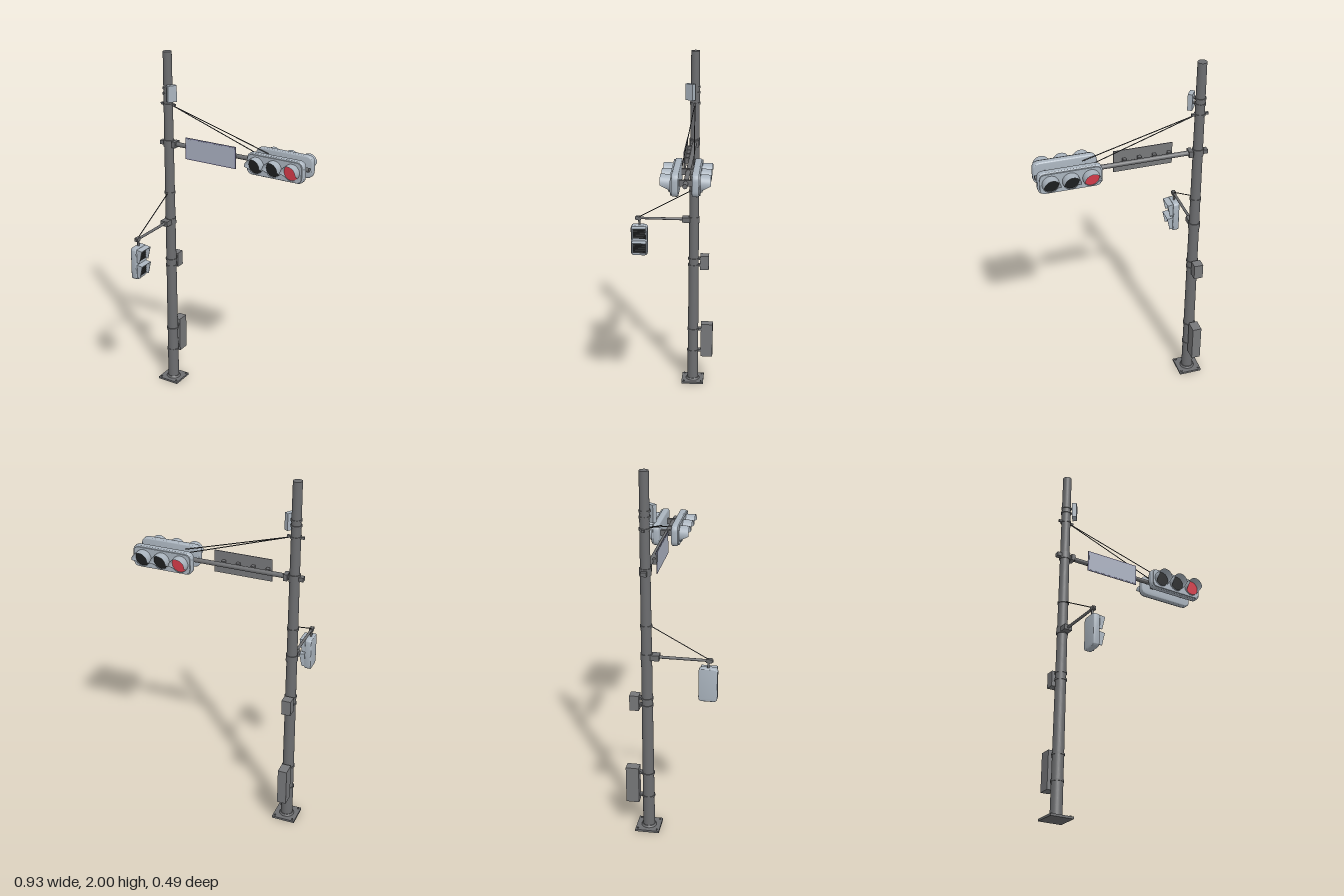
import * as THREE from 'three';
import { toCreasedNormals } from 'three/addons/utils/BufferGeometryUtils.js';

const mat = (name, color, side = THREE.FrontSide) => {
  const m = new THREE.MeshStandardMaterial({ color, side });
  m.name = name;
  return m;
};

export function createModel() {
  const root = new THREE.Group();
  root.name = 'trafficSignalPole';
  const steel = mat('poleGrey', 0x6c6d6f);
  const shell = mat('signalGrey', 0xaab4be, THREE.DoubleSide);
  const cabinet = mat('cabinetGrey', 0x77787a);
  const black = mat('lensBlack', 0x1c1e1f);
  const red = mat('lensRed', 0xd23a48);
  const cable = mat('cableGrey', 0x3c3d3f);
  const signFace = mat('signFace', 0xa9b0c0);
  const signEdge = mat('signBorder', 0x8c8cb0);
  const PX = -0.4, PZ = -0.123, ARM = 1.49;

  const add = (name, geo, material, x = 0, y = 0, z = 0, parent = root) => {
    const m = new THREE.Mesh(geo, material);
    m.name = name;
    m.position.set(x, y, z);
    parent.add(m);
    return m;
  };
  const box = (name, material, w, h, d, x, y, z, parent) =>
    add(name, new THREE.BoxGeometry(w, h, d), material, x, y, z, parent);
  // Round bar between two points
  const rod = (name, material, a, b, r0, r1 = r0, sides = 16) => {
    const p = new THREE.Vector3(...a), q = new THREE.Vector3(...b);
    const dir = q.clone().sub(p);
    const m = add(name, new THREE.CylinderGeometry(r1, r0, dir.length(), sides), material);
    m.position.copy(p).add(q).multiplyScalar(0.5);
    m.quaternion.setFromUnitVectors(new THREE.Vector3(0, 1, 0), dir.normalize());
    return m;
  };
  // Rounded plate, back at z = 0
  const plate = (w, h, d, r, bevel = 0) => {
    const a = w / 2 - bevel, b = h / 2 - bevel, s = new THREE.Shape();
    s.moveTo(-a + r, -b);
    s.lineTo(a - r, -b); s.quadraticCurveTo(a, -b, a, -b + r);
    s.lineTo(a, b - r); s.quadraticCurveTo(a, b, a - r, b);
    s.lineTo(-a + r, b); s.quadraticCurveTo(-a, b, -a, b - r);
    s.lineTo(-a, -b + r); s.quadraticCurveTo(-a, -b, -a + r, -b);
    const g = new THREE.ExtrudeGeometry(s, {
      depth: d - 2 * bevel, curveSegments: 6, bevelEnabled: bevel > 0,
      bevelSize: bevel, bevelThickness: bevel, bevelSegments: 3,
    });
    g.translate(0, 0, bevel);
    return toCreasedNormals(g, 0.7);
  };

  // Pole and foot
  const poleRadius = y => 0.032 - 0.004 * y;
  rod('pole', steel, [PX, 0.01, PZ], [PX, 2, PZ], poleRadius(0), poleRadius(2), 32);
  box('basePlate', steel, 0.13, 0.012, 0.13, PX, 0.006, PZ);
  add('baseCollar', new THREE.CylinderGeometry(0.035, 0.042, 0.012, 32), steel, PX, 0.016, PZ);
  for (const sx of [-1, 1]) for (const sz of [-1, 1])
    add('anchorBolt', new THREE.CylinderGeometry(0.005, 0.005, 0.008, 6), steel, PX + sx * 0.052, 0.014, PZ + sz * 0.052);

  // Clamping bands round the pole
  for (const [y, h] of [[0.2, 0.01], [0.34, 0.01], [0.75, 0.01], [0.79, 0.01], [1.03, 0.035], [1.2, 0.01], [1.49, 0.04], [1.71, 0.012], [1.77, 0.01], [1.8, 0.01]]) {
    const r = poleRadius(y) + 0.004;
    add('poleBand', new THREE.CylinderGeometry(r, r, h, 32), steel, PX, y, PZ);
  }

  // Cabinets behind the pole, with their standoffs
  box('lowerCabinet', cabinet, 0.05, 0.21, 0.07, -0.406, 0.27, -0.205);
  box('middleCabinet', cabinet, 0.05, 0.085, 0.05, -0.406, 0.768, -0.187);
  for (const y of [0.2, 0.34, 0.75, 0.79])
    box('cabinetBracket', steel, 0.025, 0.014, 0.03, PX, y, -0.16);

  // Small angled unit near the top
  const unit = box('upperUnit', shell, 0.05, 0.09, 0.025, -0.36, 1.78, -0.098);
  unit.rotation.y = Math.atan2(0.82, 0.57);
  for (const y of [1.77, 1.8])
    rod('upperUnitBracket', steel, [PX, y, PZ], [-0.365, y, -0.1], 0.006);

  // Main arm with its pole clamp and stays
  rod('mainArm', steel, [PX, ARM, PZ], [0.463, ARM, PZ], 0.013, 0.012, 20);
  box('armClamp', steel, 0.1, 0.022, 0.03, PX, ARM, PZ);
  box('armFlange', steel, 0.022, 0.035, 0.045, -0.357, ARM, PZ);
  for (const s of [-1, 1])
    rod('stayCable', cable, [-0.385, 1.71, PZ], [0.21, 1.525, PZ + s * 0.03], 0.0025, 0.0025, 6);
  box('stayLug', steel, 0.09, 0.012, 0.012, PX, 1.71, PZ);

  // Street sign on four short brackets
  box('signBack', cabinet, 0.316, 0.122, 0.003, -0.112, ARM, -0.0915);
  box('signBorder', signEdge, 0.316, 0.122, 0.001, -0.112, ARM, -0.0895);
  box('signFace', signFace, 0.304, 0.11, 0.001, -0.112, ARM, -0.0885);
  for (let i = 0; i < 4; i++)
    box('signBracket', steel, 0.018, 0.03, 0.025, -0.25 + i * 0.08, ARM, -0.103);

  // Round visor: full length above, cut back underneath
  const visorGeometry = (r, length) => {
    const g = new THREE.CylinderGeometry(r, r, length, 32, 1, true);
    g.rotateX(Math.PI / 2);
    g.translate(0, 0, length / 2);
    const p = g.attributes.position;
    for (let i = 0; i < p.count; i++)
      if (p.getZ(i) > length / 2 && p.getY(i) < -0.001)
        p.setZ(i, length * Math.max(0.2, 1 + 1.4 * p.getY(i) / r));
    g.computeVertexNormals();
    return g;
  };

  // Three-lamp heads, back to back
  const signal = (name, turn) => {
    const g = new THREE.Group();
    g.name = name;
    g.position.set(0.297, ARM, PZ);
    g.rotation.y = turn;
    root.add(g);
    add('signalHousing', plate(0.334, 0.12, 0.034, 0.03, 0.007), shell, 0, 0, 0.033, g);
    add('signalRim', plate(0.316, 0.108, 0.012, 0.03), shell, 0, 0, 0.062, g);
    [-0.104, 0, 0.104].forEach((x, i) => {
      add('visor', visorGeometry(0.044, 0.052), shell, x, 0, 0.073, g);
      const lens = add('lens', new THREE.CylinderGeometry(0.042, 0.042, 0.004, 32), i === 2 ? red : black, x, 0, 0.077, g);
      lens.rotation.x = Math.PI / 2;
    });
    for (const x of [-0.1, 0.1])
      box('signalBracket', steel, 0.02, 0.03, 0.035, x, 0, 0.018, g);
  };
  signal('frontSignal', 0);
  signal('backSignal', Math.PI);

  // Crossing arm, stay and hanger
  rod('crossingArm', steel, [PX, 1.03, PZ], [PX, 1.03, 0.22], 0.008, 0.007);
  box('crossingArmClamp', steel, 0.045, 0.03, 0.09, PX, 1.03, -0.1);
  rod('crossingStay', cable, [PX, 1.2, -0.1], [PX, 1.035, 0.2], 0.0025, 0.0025, 6);
  box('hangerHead', steel, 0.02, 0.02, 0.03, PX, 1.03, 0.2);
  rod('hanger', steel, [PX, 1.03, 0.195], [PX, 0.985, 0.195], 0.006);

  // Crossing signal, turned to face +x
  const crossing = new THREE.Group();
  crossing.name = 'crossingSignal';
  crossing.position.set(-0.418, 0.897, 0.195);
  crossing.rotation.y = Math.PI / 2;
  root.add(crossing);
  add('crossingHousing', plate(0.098, 0.186, 0.036, 0.016, 0.005), shell, 0, 0, 0, crossing);
  const side = new THREE.Shape([[0, 0.04], [0.034, 0.036], [0.018, -0.035], [0, -0.035]].map(p => new THREE.Vector2(...p)));
  for (const y of [0.045, -0.045]) {
    box('crossingLens', black, 0.072, 0.066, 0.004, 0, y, 0.037, crossing);
    for (const s of [-1, 1]) {
      const cheek = add('hoodSide', new THREE.ExtrudeGeometry(side, { depth: 0.003, bevelEnabled: false }), shell, s * 0.0405 + 0.0015, y, 0.035, crossing);
      cheek.rotation.y = -Math.PI / 2;
    }
    const roof = box('hoodRoof', shell, 0.084, 0.003, 0.034, 0, y + 0.038, 0.052, crossing);
    roof.rotation.x = 0.117;
    for (let i = -2; i <= 2; i++)
      box('lensLouvre', cable, 0.07, 0.002, 0.004, 0, y + i * 0.013, 0.04, crossing);
  }
  return root;
}
